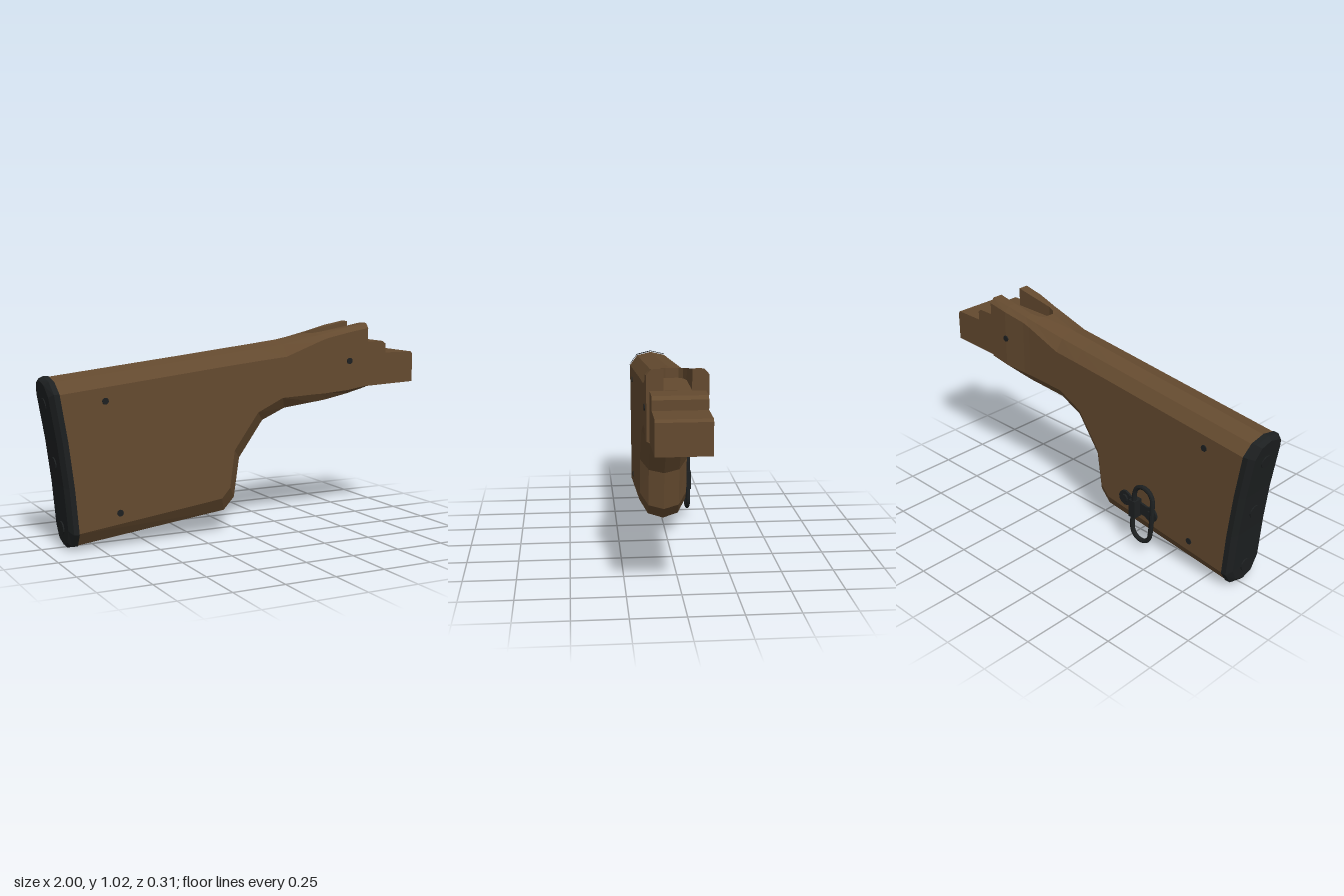
import * as THREE from 'three';

const wood = new THREE.MeshStandardMaterial({ color: 0x644a2f, flatShading: true });
wood.name = 'walnut brown';
const black = new THREE.MeshStandardMaterial({ color: 0x1d2021, flatShading: true });
black.name = 'black metal';

const HALF = 10, RING = 18;

// Mirrors a half section (top centre to keel, z >= 0) into a closed ring
function closeRing(half) {
  return half.concat(half.slice(1, -1).reverse().map(([x, y, z]) => [x, y, -z]));
}

// Joins rings running towards +x, plus extra triangles given as ring indices
function loft(rings, caps) {
  const index = [];
  for (let i = 0; i < rings.length - 1; i++) {
    for (let j = 0; j < RING; j++) {
      const k = (j + 1) % RING, a = i * RING, b = a + RING;
      index.push(a + j, a + k, b + k, a + j, b + k, b + j);
    }
  }
  index.push(...caps);
  const geo = new THREE.BufferGeometry();
  geo.setAttribute('position', new THREE.Float32BufferAttribute(rings.flat(2), 3));
  geo.setIndex(index);
  const flat = geo.toNonIndexed();
  flat.computeVertexNormals();
  return flat;
}

// Concave curve of the butt
const buttX = (y) => {
  const t = (y - 0.015) / 0.813;
  return -0.855 - 0.04 * t - 0.06 * t * t;
};

// Half section: slot floor, slot lip, top shoulder, side, lower shoulder, keel
function section([tx, ty, sideY, shZ, sideZ, w, floor, kx, ky, bx, by]) {
  const lerp = THREE.MathUtils.lerp;
  const shY = ty - (ty - sideY) * 0.25;
  const f = floor || ty;
  const side = (t) => [lerp(tx, bx, t), lerp(sideY, by, t), sideZ];
  return [
    [tx, f, 0], [tx, f, w], [tx, ty, w], [tx, floor > 0 && tx > 0.55 ? ty : shY, shZ],
    side(0), side(1 / 3), side(2 / 3), side(1),
    [lerp(kx, bx, 0.25), lerp(ky, by, 0.25), shZ], [kx, ky, 0],
  ];
}

function createModel() {
  const model = new THREE.Group();
  model.name = 'rifleStock';
  model.position.z = 0.017;
  const add = (name, geo, mat, parent = model) => {
    const m = new THREE.Mesh(geo, mat);
    m.name = name;
    parent.add(m);
    return m;
  };

  // Stock: top x,y, side top y, shoulder z, side z, slot half-width, slot floor, keel x,y, side bottom x,y
  const stations = [
    [-0.955, 0.828, 0.755, 0.078, 0.12, 0, 0, -0.855, 0.015, -0.865, 0.10],
    [-0.30, 0.898, 0.825, 0.078, 0.12, 0, 0, -0.08, 0.105, -0.12, 0.195],
    [-0.20, 0.909, 0.836, 0.078, 0.12, 0, 0, -0.02, 0.17, -0.075, 0.245],
    [-0.10, 0.920, 0.847, 0.078, 0.12, 0, 0, 0.01, 0.37, -0.05, 0.43],
    [0.10, 0.942, 0.867, 0.078, 0.12, 0, 0, 0.14, 0.55, 0.08, 0.61],
    [0.24, 0.958, 0.88, 0.078, 0.12, 0, 0, 0.26, 0.60, 0.22, 0.675],
    [0.42, 0.986, 0.945, 0.095, 0.12, 0.03, 0, 0.42, 0.628, 0.42, 0.683],
    [0.42, 0.986, 0.945, 0.095, 0.12, 0.03, 0.94, 0.42, 0.628, 0.42, 0.683],
    [0.44, 0.989, 0.952, 0.097, 0.12, 0.05, 0.94, 0.44, 0.631, 0.44, 0.683],
    [0.48, 0.996, 0.965, 0.10, 0.122, 0.0625, 0.94, 0.49, 0.64, 0.48, 0.685],
    [0.60, 1.016, 0.992, 0.112, 0.137, 0.0625, 0.94, 0.60, 0.669, 0.60, 0.697],
    [0.71, 1.035, 1.01, 0.115, 0.137, 0.0625, 0.94, 0.71, 0.70, 0.71, 0.714],
  ];
  const halves = stations.map(section);
  halves[0].forEach((p) => { p[0] = buttX(p[1]); });
  const base = (stations.length - 1) * RING, corner = base + 1;
  const frontCap = [];
  for (let j = 2; j < HALF; j++) {
    if (j < HALF - 1) frontCap.push(corner, base + j, base + j + 1);
  }
  frontCap.push(corner, base + 9, base);
  const mir = (j) => base + ((RING - j) % RING);
  for (let j = 2; j < HALF - 1; j++) frontCap.push(mir(1), mir(j + 1), mir(j));
  frontCap.push(mir(1), base, mir(9));
  add('stockBody', loft(halves.map(closeRing), frontCap), wood);

  // Butt plate with bevelled rim and concave back
  const plateRow = (dx, sz, sy) =>
    closeRing(halves[0].map(([x, y, z]) => [x + dx, 0.42 + (y - 0.42) * sy, z * sz]));
  const backCap = [];
  for (let j = 0; j < HALF - 1; j++) {
    const m = (RING - j) % RING, n = RING - j - 1;
    backCap.push(j, m, n, j, n, j + 1);
  }
  add('buttPlate', loft([
    plateRow(-0.042, 0.74, 0.965), plateRow(-0.024, 1.0, 1.01), plateRow(0.002, 1.015, 1.01),
  ], backCap), black);
  for (const y of [0.70, 0.42, 0.11]) {
    const screw = add('buttPlateScrew', new THREE.CylinderGeometry(0.032, 0.032, 0.012, 14), black);
    const t = (y - 0.015) / 0.813;
    screw.position.set(buttX(y) - 0.042, y, 0);
    screw.rotation.z = Math.PI / 2 + (0.04 + 0.12 * t) / 0.813;
  }

  // Stepped front tenon
  const profile = new THREE.Shape([
    [0.69, 0.708], [1.0, 0.72], [1.0, 0.866], [0.99, 0.878], [0.83, 0.878],
    [0.83, 0.924], [0.812, 0.939], [0.69, 0.939],
  ].map(([x, y]) => new THREE.Vector2(x, y)));
  add('frontTenon', new THREE.ExtrudeGeometry(profile, { depth: 0.245, bevelEnabled: false })
    .translate(0, 0, -0.1225), wood);

  // Cross pins showing on both sides
  for (const [x, y, z] of [[-0.72, 0.715, 0.124], [-0.655, 0.18, 0.124], [0.6, 0.845, 0.141]]) {
    const pin = add('crossPin', new THREE.CylinderGeometry(0.016, 0.016, 2 * z, 12), black);
    pin.rotation.x = Math.PI / 2;
    pin.position.set(x, y, 0);
  }

  // Sling swivel on the right-hand side
  const swivel = new THREE.Group();
  swivel.name = 'slingSwivel';
  swivel.position.set(-0.33, 0.235, -0.12);
  model.add(swivel);
  const mount = new THREE.Group();
  mount.name = 'swivelMount';
  mount.rotation.z = 0.15;
  swivel.add(mount);
  add('mountBar', new THREE.BoxGeometry(0.17, 0.06, 0.014), black, mount).position.z = -0.004;
  for (const s of [-1, 1]) {
    const lobe = add('mountLobe', new THREE.CylinderGeometry(0.04, 0.04, 0.014, 12), black, mount);
    lobe.rotation.x = Math.PI / 2;
    lobe.position.set(s * 0.085, 0, -0.004);
    const head = add('mountScrew', new THREE.CylinderGeometry(0.02, 0.022, 0.01, 10), black, mount);
    head.rotation.x = -Math.PI / 2;
    head.position.set(s * 0.085, 0, -0.014);
  }
  add('swivelLug', new THREE.BoxGeometry(0.04, 0.095, 0.05), black, swivel).position.set(0.002, 0, -0.025);

  // Oblong wire loop
  const pts = [];
  for (let i = 0; i < 20; i++) {
    const a = ((i + 0.5) / 20) * Math.PI * 2;
    pts.push(new THREE.Vector3(Math.cos(a) * 0.058, Math.sin(a) * 0.058 + Math.sign(Math.sin(a)) * 0.095, 0));
  }
  const path = new THREE.CatmullRomCurve3(pts, true);
  const loop = add('slingLoop', new THREE.TubeGeometry(path, 48, 0.012, 8, true), black, swivel);
  loop.position.set(-0.056, -0.01, -0.035);
  loop.rotation.z = 0.06;

  return model;
}

export { createModel };
